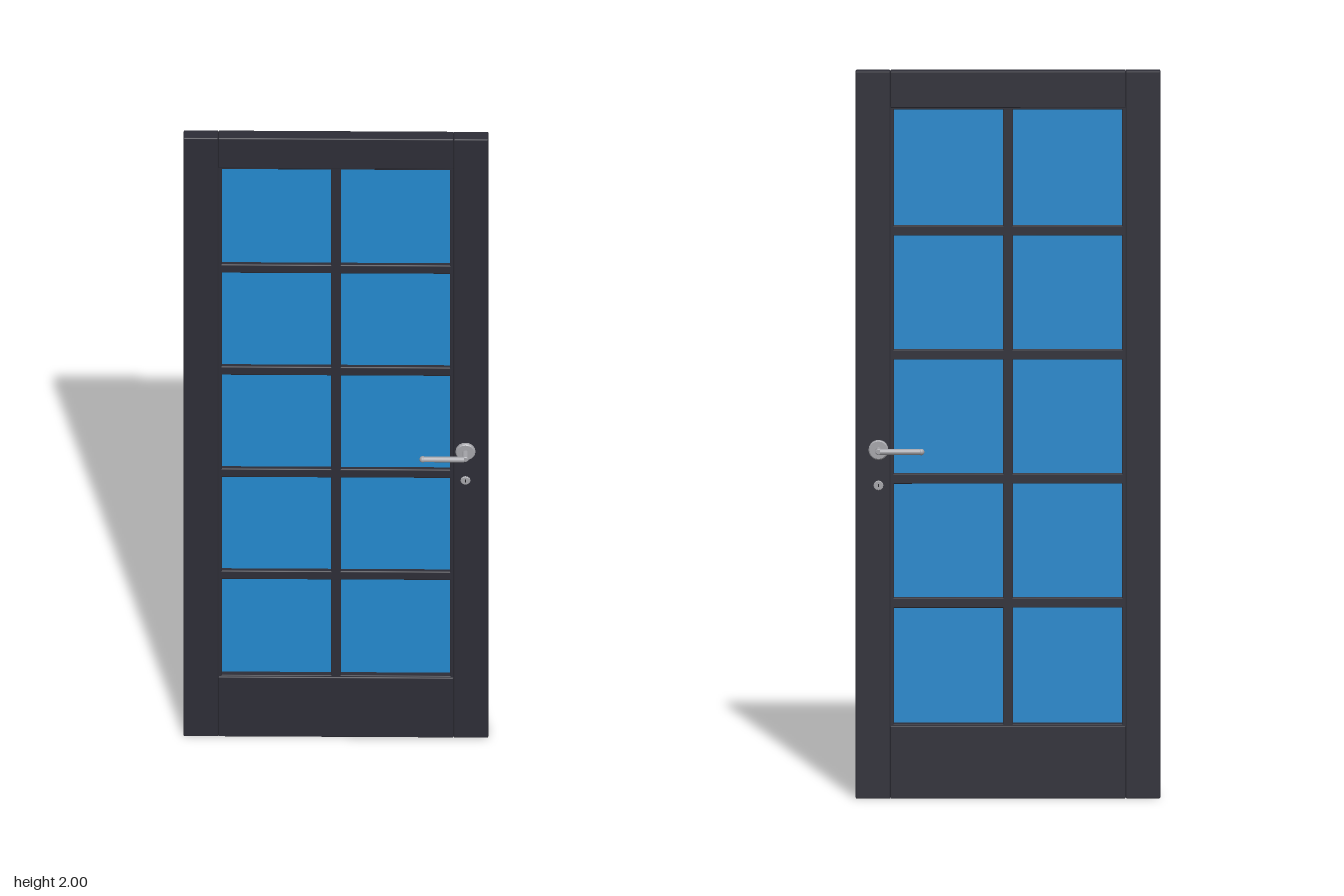
import * as THREE from 'three';
import { RoundedBoxGeometry } from 'three/addons/geometries/RoundedBoxGeometry.js';

export function createModel() {
  const door = new THREE.Group();
  door.name = 'glazedDoor';
  const material = (name, color) => {
    const m = new THREE.MeshStandardMaterial({ color });
    m.name = name;
    return m;
  };
  const paint = material('charcoalPaint', 0x2d2d36);
  const glass = material('blueGlass', 0x2388cc);
  const metal = material('brushedMetal', 0xa3a3a8);
  const dark = material('keyholeDark', 0x1c1c20);

  const add = (parent, name, geometry, mat, x, y, z) => {
    const mesh = new THREE.Mesh(geometry, mat);
    mesh.name = name;
    mesh.position.set(x, y, z);
    parent.add(mesh);
    return mesh;
  };
  // Slightly eased timber between two corners, centred on z = 0
  const timber = (name, x0, x1, y0, y1, depth, r = 0.003) =>
    add(door, name, new RoundedBoxGeometry(x1 - x0, y1 - y0, depth, 1, r),
      paint, (x0 + x1) / 2, (y0 + y1) / 2, 0);

  // Outer frame
  const W = 0.414, S = 0.32, D = 0.039;
  timber('rightStile', -W, -S, 0, 2, D);
  timber('leftStile', S, W, 0, 2, D);
  timber('topRail', -S, S, 1.9, 2, D);
  timber('bottomRail', -S, S, 0, 0.2, D);

  // Glazing beads and bars
  const bottom = 0.197, top = 1.903, rows = 5, pitch = (top - bottom) / rows;
  const barDepth = 0.033;
  for (const s of [-1, 1]) {
    timber('sideBead', s * 0.3155 - 0.0055, s * 0.3155 + 0.0055, 0.195, 1.905, barDepth, 0.002);
  }
  timber('topBead', -S, S, 1.895, 1.905, barDepth, 0.002);
  timber('bottomBead', -S, S, 0.195, 0.204, barDepth, 0.002);
  timber('uprightBar', -0.014, 0.014, 0.198, 1.902, barDepth);
  for (let i = 1; i < rows; i++) {
    const y = bottom + i * pitch;
    timber('crossBar', -0.315, 0.315, y - 0.014, y + 0.014, barDepth);
  }

  // Glass panes
  for (let i = 0; i < rows; i++) {
    for (const s of [-1, 1]) {
      add(door, 'pane', new THREE.BoxGeometry(0.304, pitch - 0.02, 0.008), glass,
        s * 0.161, bottom + (i + 0.5) * pitch, 0);
    }
  }

  // Turned disc along +z, with a chamfered rim
  const disc = (r, h, chamfer, sides) => {
    const profile = [[0, 0], [r, 0], [r, h - chamfer], [r - chamfer, h], [0, h]]
      .map(([a, b]) => new THREE.Vector2(a, b));
    const g = new THREE.LatheGeometry(profile, sides).toNonIndexed();
    g.rotateX(Math.PI / 2);
    g.computeVertexNormals();
    return g;
  };

  // Lever handle and key plate, the same on both faces
  const buildLock = (side) => {
    const lock = new THREE.Group();
    lock.name = side > 0 ? 'frontLock' : 'backLock';
    const hx = side * 0.352, hy = 0.96, face = D / 2 - 0.001;
    add(lock, 'rosette', disc(0.027, 0.0105, 0.003, 20), metal, hx, hy, face);
    add(lock, 'neck', disc(0.0085, 0.043, 0.002, 16), metal, hx, hy, face);
    // Round lever bar pointing toward the middle of the door
    const bar = add(lock, 'lever', new THREE.CylinderGeometry(0.008, 0.008, 0.112, 16),
      metal, side * 0.292, hy, 0.06);
    bar.rotation.z = Math.PI / 2;
    const tip = add(lock, 'leverTip', new THREE.SphereGeometry(0.009, 16, 10),
      metal, side * 0.236, hy, 0.06);
    tip.scale.x = 1;
    add(lock, 'keyPlate', disc(0.0135, 0.005, 0.0015, 12), metal, hx, 0.862, face);
    add(lock, 'keyhole', new THREE.BoxGeometry(0.003, 0.009, 0.001), dark, hx, 0.862, face + 0.005);
    if (side < 0) lock.rotation.y = Math.PI;
    door.add(lock);
  };
  buildLock(1);
  buildLock(-1);

  return door;
}
